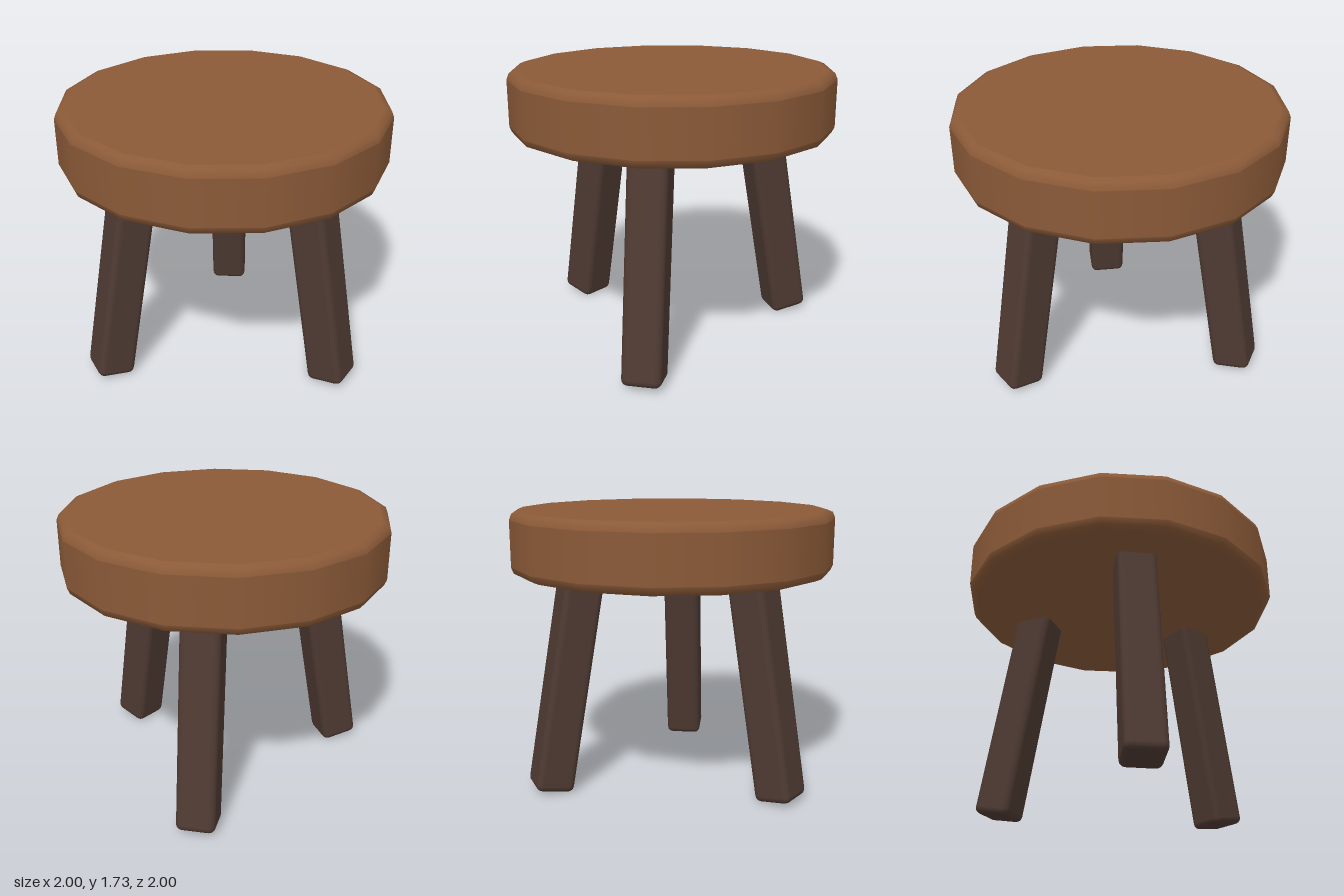
import * as THREE from 'three';
import { RoundedBoxGeometry } from 'three/addons/geometries/RoundedBoxGeometry.js';

export function createModel() {
  const stool = new THREE.Group();
  stool.name = 'stool';

  const seatWood = new THREE.MeshStandardMaterial({ color: 0x8b5a38 });
  seatWood.name = 'warm brown wood';
  const legWood = new THREE.MeshStandardMaterial({ color: 0x4e3a32 });
  legWood.name = 'dark brown wood';

  // Seat: sixteen-sided slab with softened rims; extra rings keep the flats flat
  const bottom = 1.345, top = 1.73, bevel = 0.05;
  const profile = [new THREE.Vector2(0, bottom), new THREE.Vector2(0.945, bottom)];
  const rim = (cy, from) => {
    for (let i = 0; i <= 2; i++) {
      const a = from + (i * Math.PI) / 4;
      profile.push(new THREE.Vector2(1 - bevel + bevel * Math.cos(a), cy + bevel * Math.sin(a)));
    }
  };
  rim(bottom + bevel, -Math.PI / 2);
  profile.push(new THREE.Vector2(1, bottom + bevel + 0.005), new THREE.Vector2(1, top - bevel - 0.005));
  rim(top - bevel, 0);
  profile.push(new THREE.Vector2(0.945, top), new THREE.Vector2(0, top));
  const seat = new THREE.Mesh(new THREE.LatheGeometry(profile, 16), seatWood);
  seat.name = 'seat';
  stool.add(seat);

  // Three square legs splayed outwards, evenly spaced around the seat
  const length = 1.4, splay = THREE.MathUtils.degToRad(10);
  const legGeometry = new RoundedBoxGeometry(0.24, length, 0.24, 2, 0.04);
  legGeometry.translate(0, length / 2, 0);
  ['leftLeg', 'backRightLeg', 'frontRightLeg'].forEach((name, i) => {
    const pivot = new THREE.Group();
    pivot.name = name;
    pivot.rotation.y = (i * Math.PI * 2) / 3;
    const leg = new THREE.Mesh(legGeometry, legWood);
    leg.name = name + 'Post';
    leg.position.set(0.83, 0.015, 0);
    leg.rotation.z = splay;
    pivot.add(leg);
    stool.add(pivot);
  });

  return stool;
}
